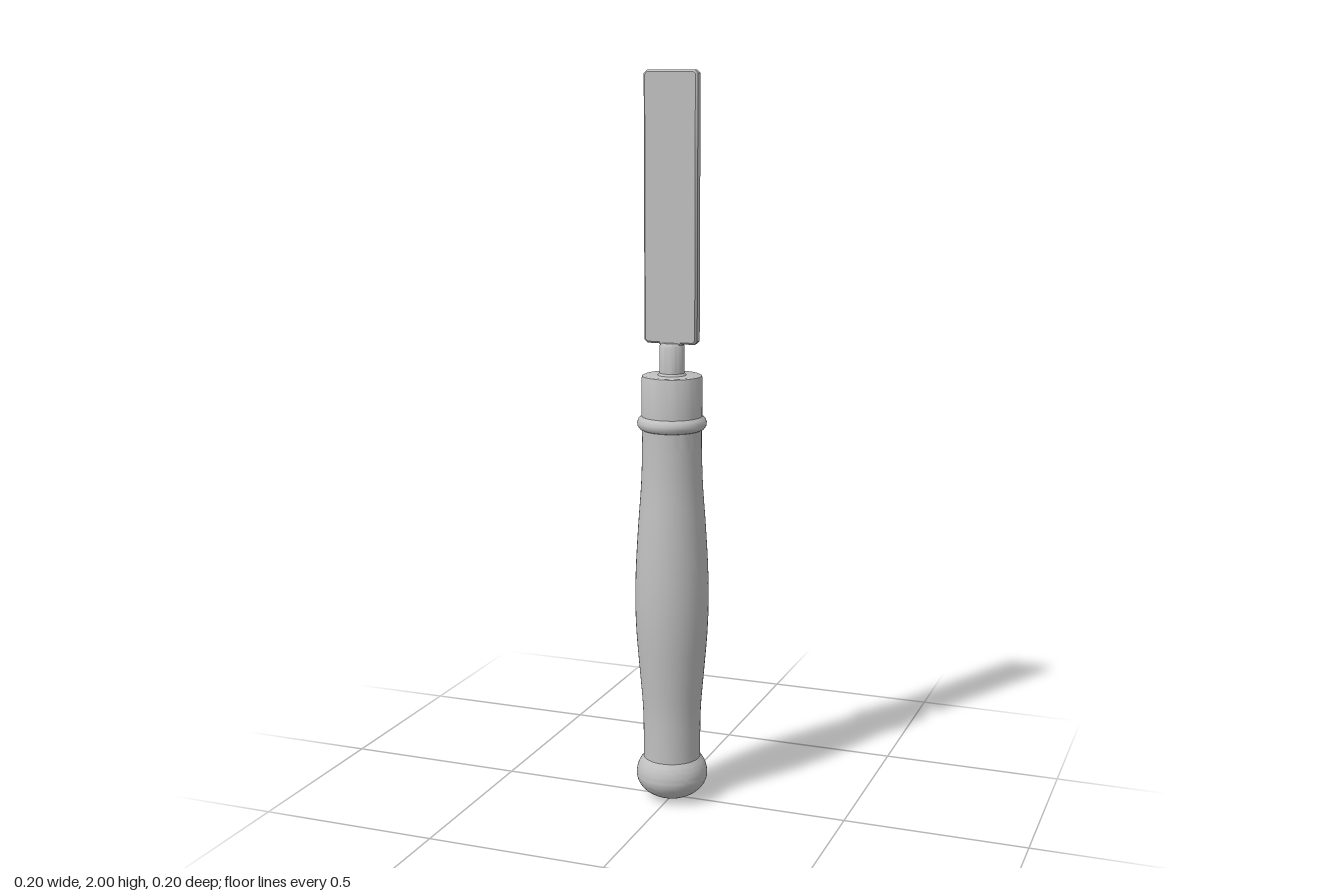
import * as THREE from 'three';
import { toCreasedNormals } from 'three/addons/utils/BufferGeometryUtils.js';

export function createModel() {
  const model = new THREE.Group();
  model.name = 'chisel';

  const grey = new THREE.MeshStandardMaterial({ color: 0xc0c0c0 });
  grey.name = 'plain grey';

  const add = (name, geometry) => {
    const mesh = new THREE.Mesh(toCreasedNormals(geometry, 0.6), grey);
    mesh.name = name;
    model.add(mesh);
    return mesh;
  };
  const points = (list) => list.map(([r, y]) => new THREE.Vector2(r, y));
  const lathe = (list) => new THREE.LatheGeometry(points(list), 48);

  // Swelling grip, smoothed through a few radii
  const grip = new THREE.SplineCurve(points([
    [0.079, 0.09], [0.079, 0.18], [0.081, 0.27], [0.09, 0.38], [0.098, 0.48], [0.101, 0.57],
    [0.099, 0.67], [0.092, 0.79], [0.084, 0.9], [0.081, 1.0], [0.081, 1.08],
  ])).getPoints(40);
  add('grip', new THREE.LatheGeometry(grip, 48));

  // Rounded pommel at the foot
  const pommel = new THREE.SplineCurve(points([
    [0, 0], [0.035, 0.005], [0.068, 0.02], [0.09, 0.042], [0.099, 0.068],
    [0.095, 0.095], [0.086, 0.113], [0.077, 0.124],
  ])).getPoints(24);
  add('pommel', new THREE.LatheGeometry(pommel, 48));

  // Ferrule with softened rim and the ring beneath it
  add('ferrule', lathe([[0.082, 1.07], [0.082, 1.192], [0.08, 1.198], [0.075, 1.2], [0, 1.2]]));
  add('ferruleRing', lathe([
    [0.078, 1.05], [0.087, 1.054], [0.093, 1.062], [0.094, 1.072], [0.09, 1.082], [0.08, 1.09],
  ]));

  // Round neck with a tapered shoulder into the blade
  add('neck', lathe([
    [0.04, 1.198], [0.034, 1.206], [0.034, 1.278], [0.028, 1.287], [0, 1.29],
  ]));

  // Flat blade with chamfered edges and clipped corners
  const w = 0.07, low = 1.29, high = 1.995, c = 0.006;
  const outline = new THREE.Shape(points([
    [-w + c, low], [-0.03, low], [-0.024, low - 0.01], [0.024, low - 0.01], [0.03, low], [w - c, low],
    [w, low + c], [w, high - c], [w - c, high], [-w + c, high], [-w, high - c], [-w, low + c],
  ]));
  const blade = new THREE.ExtrudeGeometry(outline, {
    depth: 0.02, bevelEnabled: true, bevelThickness: 0.006, bevelSize: 0.005, bevelSegments: 1,
  });
  blade.translate(0, 0, -0.01);
  add('blade', blade);

  return model;
}
